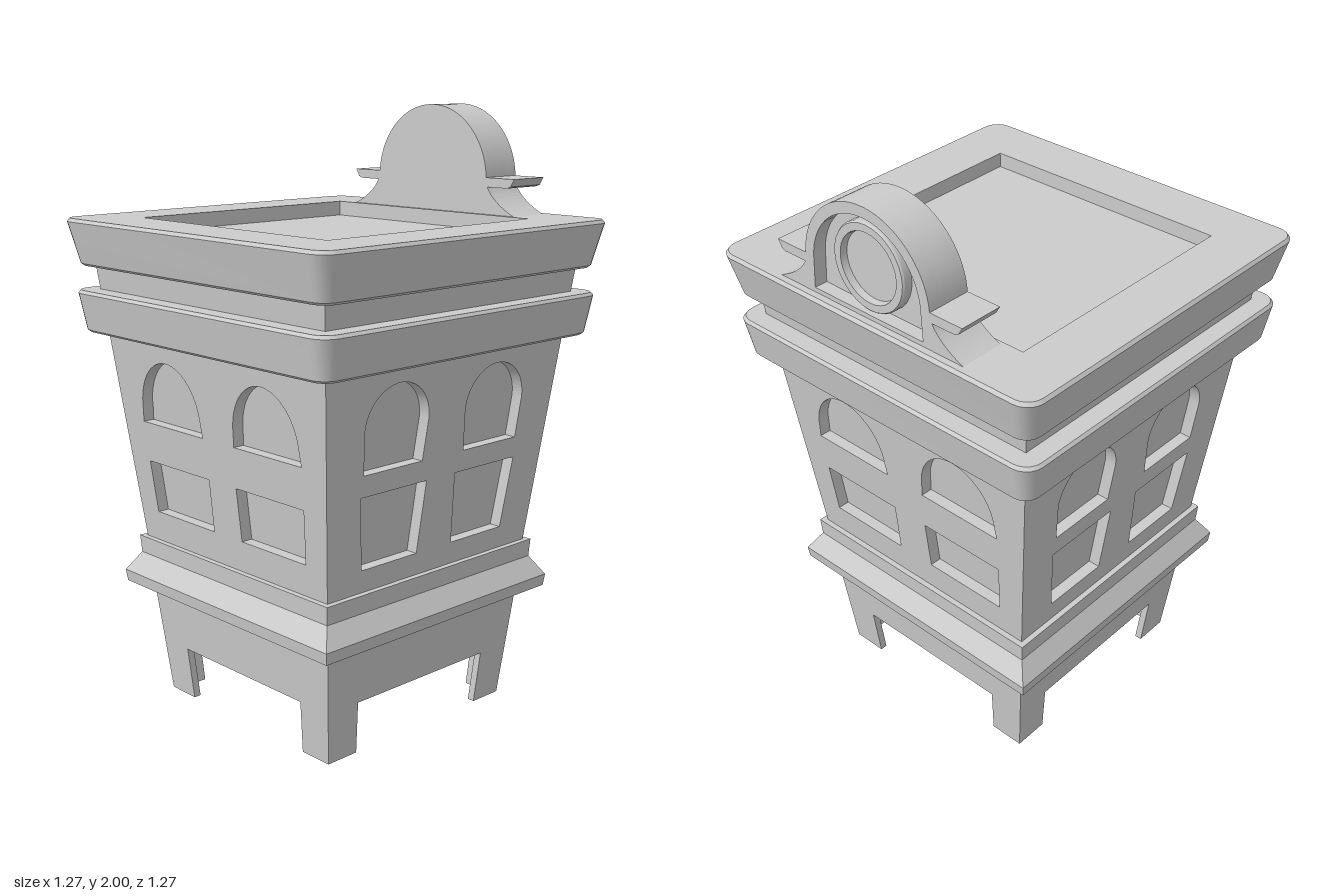
import * as THREE from 'three';
import { toCreasedNormals } from 'three/addons/utils/BufferGeometryUtils.js';

const grey = new THREE.MeshStandardMaterial({ color: 0xcccccc, side: THREE.DoubleSide });

function addMesh(parent, name, geometry, crease = 0.5) {
  const mesh = new THREE.Mesh(toCreasedNormals(geometry, crease), grey);
  mesh.name = name;
  parent.add(mesh);
  return mesh;
}

// Square "lathe": profile of [halfWidth, y, cornerRadius] swept round a square plan
function squareLathe(profile, seg = 0) {
  const pos = [], index = [], n = 4 * (seg + 1);
  for (const [h, y, r = 0] of profile) {
    for (let k = 0; k < 4; k++) {
      const mid = (k + 0.5) * Math.PI / 2;
      const cx = Math.sign(Math.cos(mid)) * (h - r), cz = -Math.sign(Math.sin(mid)) * (h - r);
      for (let s = 0; s <= seg; s++) {
        const a = (k + (seg ? s / seg : 0.5)) * Math.PI / 2;
        pos.push(cx + r * Math.cos(a), y, cz - r * Math.sin(a));
      }
    }
  }
  for (let i = 0; i < profile.length - 1; i++) {
    for (let j = 0; j < n; j++) {
      const p = i * n + j, q = i * n + (j + 1) % n;
      index.push(p, q, p + n, q, q + n, p + n);
    }
  }
  const g = new THREE.BufferGeometry();
  g.setAttribute('position', new THREE.Float32BufferAttribute(pos, 3));
  g.setIndex(index);
  return g;
}

// Extruded wall leaned onto a tapering face, with mitred corners
function wall(shape, halfAt, depth) {
  const g = new THREE.ExtrudeGeometry(shape, { depth, bevelEnabled: false, curveSegments: 14 });
  const p = g.attributes.position;
  for (let i = 0; i < p.count; i++) {
    const x = p.getX(i), h = halfAt(p.getY(i)), inset = depth - p.getZ(i);
    if (Math.abs(x) > h - 1e-4) p.setX(i, x - Math.sign(x) * inset);
    p.setZ(i, h - inset);
  }
  return g;
}

const polygon = (pts, Type = THREE.Shape) => new Type(pts.map(([x, y]) => new THREE.Vector2(x, y)));
const taper = (y0, h0, y1, h1) => y => h0 + (h1 - h0) * (y - y0) / (y1 - y0);

function archHole(c, bottom, halfBottom, spring, half, rise) {
  const p = new THREE.Path();
  p.moveTo(c - halfBottom, bottom);
  p.lineTo(c + halfBottom, bottom);
  p.lineTo(c + half, spring);
  p.absellipse(c, spring, half, rise, 0, Math.PI, false, 0);
  p.closePath();
  return p;
}

export function createModel() {
  const model = new THREE.Group();
  model.name = 'tower';

  // Four-legged skirt
  const skirtHalf = taper(0, 0.4, 0.395, 0.44);
  const skirtShape = polygon([[-0.4, 0], [-0.28, 0], [-0.29, 0.18], [0.29, 0.18], [0.28, 0],
    [0.4, 0], [0.44, 0.395], [-0.44, 0.395]]);
  for (let i = 0; i < 4; i++) {
    addMesh(model, 'legSkirt', wall(skirtShape, skirtHalf, 0.025)).rotation.y = i * Math.PI / 2;
  }

  // Hollow base moulding
  addMesh(model, 'baseMoulding', squareLathe([[0.415, 0.395], [0.505, 0.395], [0.51, 0.435],
    [0.468, 0.5], [0.472, 0.56], [0.415, 0.56], [0.43, 0.5], [0.47, 0.45], [0.47, 0.42],
    [0.415, 0.42], [0.415, 0.395]]), 0.1);

  // Body walls with window openings: wide pairs front and back, narrow pairs on the sides
  const bodyHalf = taper(0.56, 0.453, 1.27, 0.53);
  for (let i = 0; i < 4; i++) {
    const shape = polygon([[-0.453, 0.56], [0.453, 0.56], [0.53, 1.27], [-0.53, 1.27]]);
    for (const s of [-1, 1]) {
      const pane = i % 2
        ? [[0.08, 0.635], [0.32, 0.635], [0.348, 0.875], [0.065, 0.875]]
        : [[0.07, 0.665], [0.37, 0.665], [0.383, 0.843], [0.068, 0.843]];
      shape.holes.push(polygon(pane.map(([x, y]) => [x * s, y]), THREE.Path));
      shape.holes.push(i % 2
        ? archHole(0.219 * s, 0.945, 0.125, 1.08, 0.136, 0.135)
        : archHole(0.234 * s, 0.98, 0.157, 1.02, 0.152, 0.18));
    }
    addMesh(model, 'windowWall', wall(shape, bodyHalf, 0.04)).rotation.y = i * Math.PI / 2;
  }
  addMesh(model, 'windowBacking', squareLathe([[0.413, 0.56], [0.49, 1.27]]));

  // Cornices and neck
  addMesh(model, 'lowerCornice', squareLathe([[0, 1.27], [0.585, 1.27, 0.045], [0.594, 1.278, 0.05],
    [0.615, 1.4, 0.06], [0.607, 1.41, 0.055], [0, 1.41]], 5));
  addMesh(model, 'neck', squareLathe([[0.545, 1.4], [0.556, 1.5]]));
  addMesh(model, 'upperCornice', squareLathe([[0, 1.49], [0.595, 1.49, 0.045], [0.604, 1.498, 0.05],
    [0.635, 1.634, 0.06], [0.627, 1.645, 0.055], [0.442, 1.645], [0.442, 1.595], [0, 1.595]], 5));

  // Crest at the rear of the roof
  const crest = new THREE.Group();
  crest.name = 'crest';
  crest.position.z = -0.605;
  model.add(crest);
  const crestShape = () => {
    const s = new THREE.Shape();
    s.moveTo(-0.37, 1.645);
    s.lineTo(0.37, 1.645);
    s.quadraticCurveTo(0.27, 1.69, 0.248, 1.75);
    s.absarc(0, 1.75, 0.25, 0, Math.PI, false);
    s.quadraticCurveTo(-0.27, 1.69, -0.37, 1.645);
    return s;
  };
  const slab = (shape, depth) =>
    new THREE.ExtrudeGeometry(shape, { depth, bevelEnabled: false, curveSegments: 24 });
  addMesh(crest, 'crestSlab', slab(crestShape(), 0.105)).position.z = 0.045;
  const rim = crestShape();
  rim.holes.push(archHole(0, 1.66, 0.22, 1.75, 0.215, 0.215));
  addMesh(crest, 'crestRim', slab(rim, 0.045));

  // Side tabs
  for (const s of [-1, 1]) {
    const tab = polygon([[0.24, 1.735], [0.34, 1.735], [0.355, 1.741], [0.37, 1.766], [0.24, 1.766]]
      .map(([x, y]) => [x * s, y]));
    addMesh(crest, 'crestTab', slab(tab, 0.15));
  }

  // Round medallion in the rear recess
  const disc = [[0, 0.012], [0.108, 0.012], [0.112, 0.034], [0.136, 0.034], [0.14, 0.028], [0.14, 0]];
  const medallion = addMesh(crest, 'medallion',
    new THREE.LatheGeometry(disc.reverse().map(([r, y]) => new THREE.Vector2(r, y)), 32));
  medallion.rotation.x = -Math.PI / 2;
  medallion.position.set(0, 1.802, 0.046);

  return model;
}
